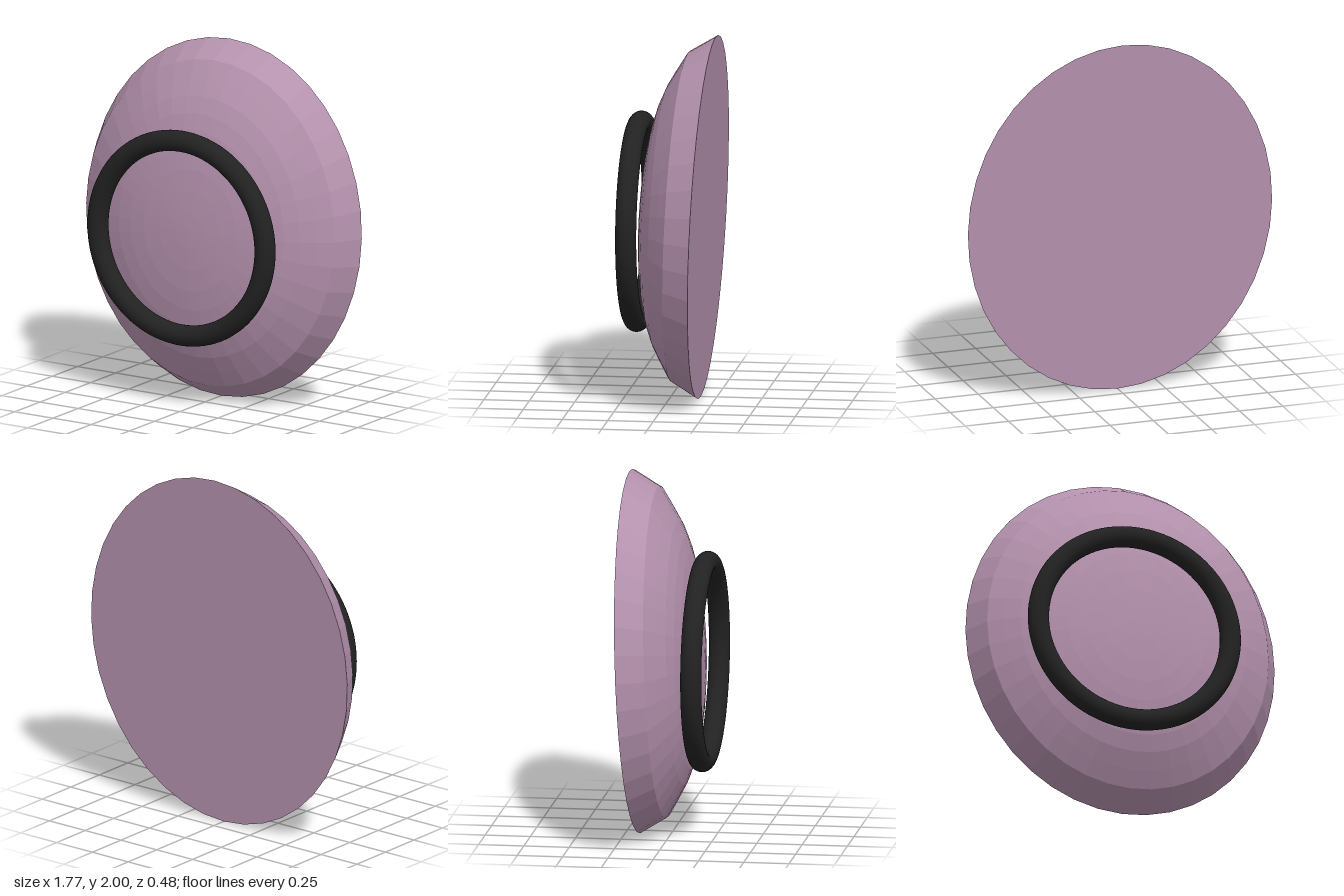
import * as THREE from 'three';

export function createModel() {
  const model = new THREE.Group();
  const mauve = new THREE.MeshStandardMaterial({ name: 'mauve', color: 0xb592ae, flatShading: true });
  const black = new THREE.MeshStandardMaterial({ name: 'black', color: 0x222222 });

  // Shallow faceted dome with a flat back: [radius, depth] from back centre to front centre
  const profile = [
    [0, -0.202], [1, -0.202], [0.91, -0.053], [0.82, 0.0], [0.73, 0.05], [0.64, 0.086],
    [0.55, 0.111], [0.45, 0.131], [0.34, 0.146], [0.22, 0.156], [0.1, 0.162], [0, 0.164],
  ].map(([r, d]) => new THREE.Vector2(r, d));
  const domeGeometry = new THREE.LatheGeometry(profile, 40);
  domeGeometry.rotateX(Math.PI / 2);
  domeGeometry.scale(0.885, 1, 1);

  // Lean the whole dome slightly so its back plane is tilted
  const p = domeGeometry.attributes.position;
  for (let i = 0; i < p.count; i++) {
    p.setZ(i, p.getZ(i) - 0.04 * p.getY(i) - 0.014 * p.getX(i));
  }
  domeGeometry.computeVertexNormals();
  const dome = new THREE.Mesh(domeGeometry, mauve);
  dome.name = 'dome';
  dome.position.y = 1;
  model.add(dome);

  // Smooth round ring resting on the front of the dome
  const ring = new THREE.Mesh(new THREE.TorusGeometry(0.547, 0.058, 24, 96), black);
  ring.name = 'frontRing';
  ring.position.set(-0.033, 0.96, 0.183);
  model.add(ring);

  return model;
}
